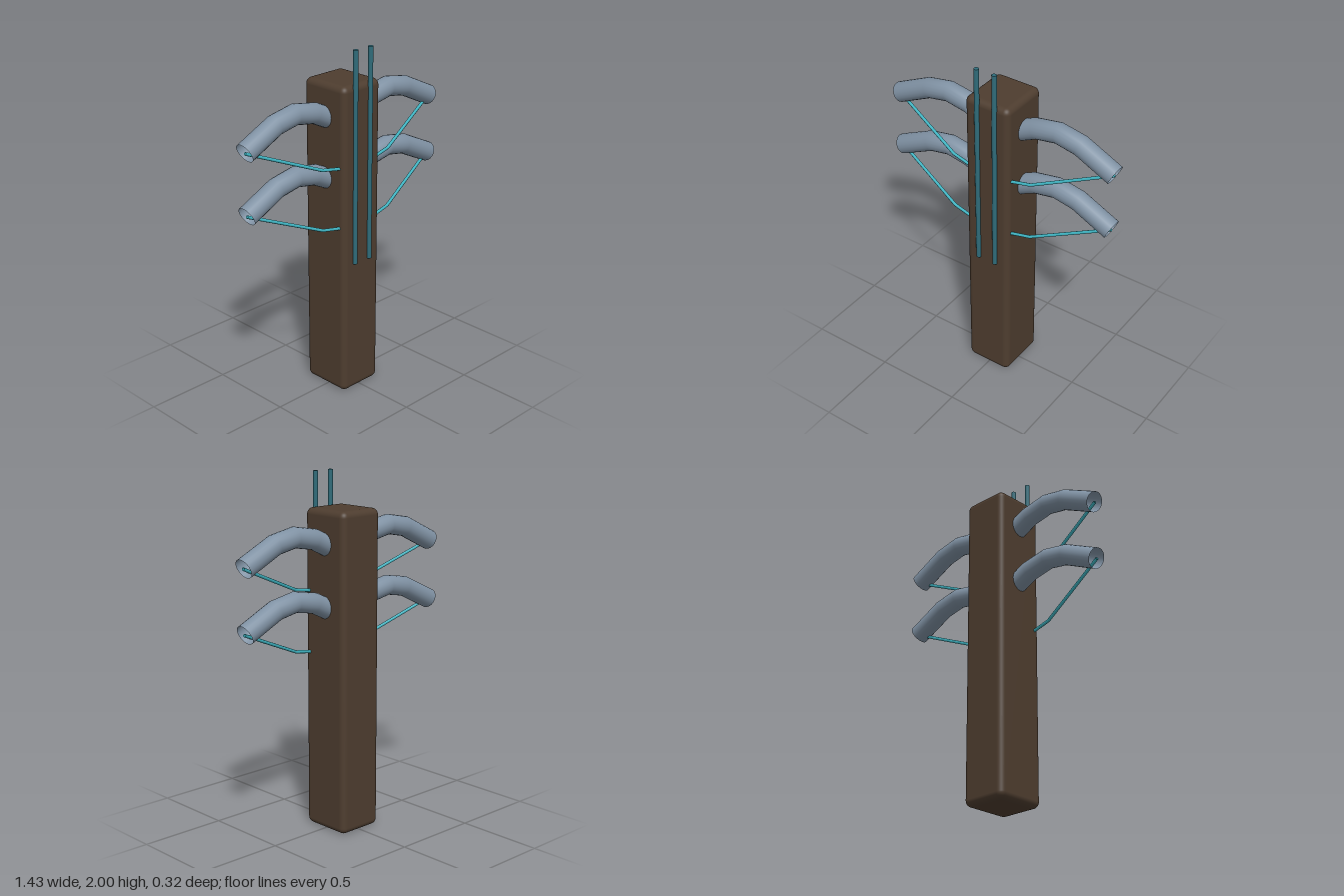
import * as THREE from 'three';
import { RoundedBoxGeometry } from 'three/addons/geometries/RoundedBoxGeometry.js';

// Path that keeps its corners, one tube ring per given point
class Polyline extends THREE.Curve {
  constructor(points) {
    super();
    this.points = points.map((p) => new THREE.Vector3(...p));
  }
  getPoint(t, target = new THREE.Vector3()) {
    const last = this.points.length - 1;
    const i = Math.min(Math.floor(t * last), last - 1);
    return target.lerpVectors(this.points[i], this.points[i + 1], t * last - i);
  }
  getPointAt(t, target) { return this.getPoint(t, target); }
  getTangentAt(t, target) { return this.getTangent(t, target); }
}

const material = (color, side = THREE.FrontSide) =>
  new THREE.MeshStandardMaterial({ color, side });

export function createModel() {
  const model = new THREE.Group();
  model.name = 'post';

  const wood = material(0x4e3d2f);
  const pipe = material(0x8092a4, THREE.DoubleSide);
  const wire = material(0x3fb4c2, THREE.DoubleSide);
  const rodPaint = material(0x2f6c7a);

  const add = (name, geometry, mat, x = 0, y = 0, z = 0) => {
    const mesh = new THREE.Mesh(geometry, mat);
    mesh.name = name;
    mesh.position.set(x, y, z);
    model.add(mesh);
  };
  const tube = (points, radius, sides) =>
    new THREE.TubeGeometry(new Polyline(points), points.length - 1, radius, sides);

  // Square post with rounded edges
  add('column', new RoundedBoxGeometry(0.276, 1.81, 0.304, 4, 0.035), wood, 0, 0.905, -0.008);

  for (const [side, s] of [['left', 1], ['right', -1]]) {
    // Upright rod on the front face
    add(`${side}Rod`, new THREE.CylinderGeometry(0.014, 0.014, 1.21, 12), rodPaint, s * 0.055, 1.395, 0.146);

    for (const [level, y] of [['upper', 1.56], ['lower', 1.215]]) {
      // Open bent pipe arm
      const arm = [[0, 0, 0], [0.21, 0.1, 0], [0.348, 0.125, 0], [0.482, 0.1, 0], [0.69, 0, 0]];
      add(`${level}${side}Arm`, tube(arm.map(([a, b, c]) => [s * a, b, c]), 0.057, 20), pipe, 0, y, -0.008);

      // Thin stay wire from the post into the mouth of the arm
      const stay = [[0.1, -0.208, 0.11], [0.25, -0.182, 0.096], [0.69, 0, -0.005]];
      add(`${level}${side}Stay`, tube(stay.map(([a, b, c]) => [s * a, b, c]), 0.009, 8), wire, 0, y, 0);
    }
  }
  return model;
}
